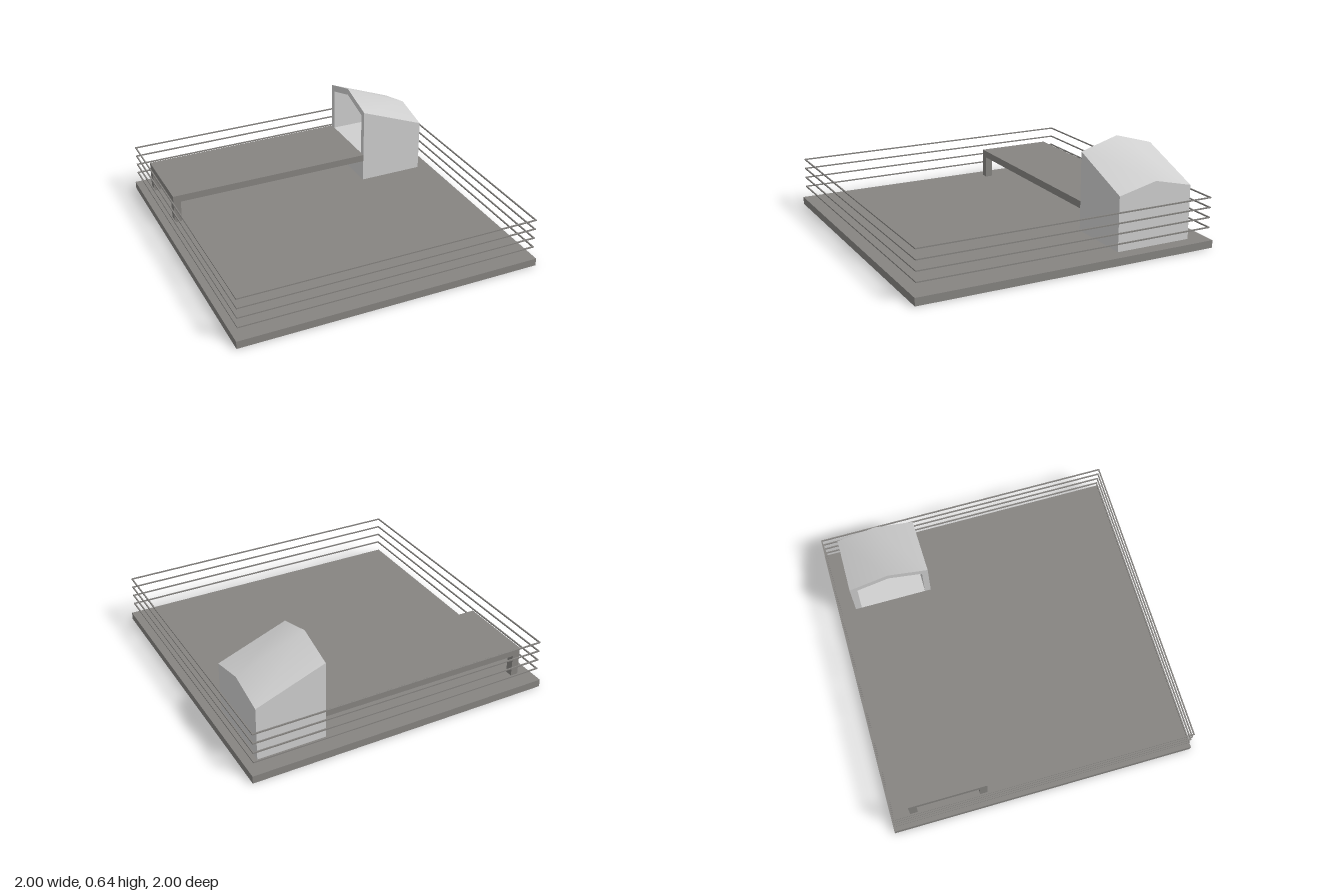
import * as THREE from 'three';
import { toCreasedNormals } from 'three/addons/utils/BufferGeometryUtils.js';

const concrete = new THREE.MeshStandardMaterial({ color: 0x868481 });
concrete.name = 'concrete grey';
const pale = new THREE.MeshStandardMaterial({ color: 0xcfcfcf });
pale.name = 'pale grey';

// Box given by its minimum and maximum corners
function box(name, min, max, material) {
  const size = max.map((v, i) => v - min[i]);
  const mesh = new THREE.Mesh(new THREE.BoxGeometry(...size), material);
  mesh.position.set(...max.map((v, i) => (v + min[i]) / 2));
  mesh.name = name;
  return mesh;
}

// House-shaped cross-section at x, from front bottom over the ridge to back bottom
function section(x, inset, bottom, eave, ridge) {
  const front = -0.36 - inset, back = -0.875 + inset, middle = (front + back) / 2;
  return [[front, bottom], [front, eave], [middle, ridge], [back, eave], [back, bottom]]
    .map(([z, y]) => [x, y, z]);
}

// Hollow shelter, open at its high end, with a roof falling towards +x
function shelterGeometry() {
  const outer0 = section(0.47, 0, 0.05, 0.57, 0.645);
  const outer1 = section(0.912, 0, 0.05, 0.402, 0.463);
  const inner0 = section(0.47, 0.04, 0.245, 0.535, 0.6);
  const inner1 = section(0.872, 0.04, 0.245, 0.38, 0.44);
  const positions = [];
  const face = (...corners) => {
    for (let k = 1; k < corners.length - 1; k++) {
      positions.push(...corners[0], ...corners[k], ...corners[k + 1]);
    }
  };
  for (let i = 0; i < 5; i++) {
    const j = (i + 1) % 5;
    face(outer0[i], outer1[i], outer1[j], outer0[j]); // outside
    face(inner0[i], inner0[j], inner1[j], inner1[i]); // inside
    face(outer0[i], outer0[j], inner0[j], inner0[i]); // rim of the opening
  }
  face(...outer1.slice().reverse()); // end wall
  face(...inner1);
  const geometry = new THREE.BufferGeometry();
  geometry.setAttribute('position', new THREE.Float32BufferAttribute(positions, 3));
  return toCreasedNormals(geometry, 0.8); // soft ridge, sharp corners
}

export function createModel() {
  const model = new THREE.Group();
  model.name = 'platformWithShelter';

  // Ground slab
  model.add(box('baseSlab', [-1, 0, -1], [1, 0.05, 1], concrete));

  // Raised walkway with two legs at its free end
  const walkway = new THREE.Group();
  walkway.name = 'walkway';
  walkway.add(box('deck', [-0.917, 0.197, -0.875], [0.47, 0.245, -0.36], concrete));
  for (const z of [-0.875, -0.41]) {
    walkway.add(box('deckLeg', [-0.917, 0.05, z], [-0.867, 0.197, z + 0.05], concrete));
  }
  model.add(walkway);

  // Shelter
  const shelter = new THREE.Mesh(shelterGeometry(), pale);
  shelter.name = 'shelter';
  model.add(shelter);

  // Four floating square loops of rail around the edge
  const railing = new THREE.Group();
  railing.name = 'railing';
  const r = 0.984, t = 0.008;
  for (const y of [0.127, 0.192, 0.257, 0.321]) {
    for (const side of [-1, 1]) {
      const a = side < 0 ? -r : r - t;
      railing.add(box('railAlongX', [-r, y, a], [r, y + t, a + t], concrete));
      railing.add(box('railAlongZ', [a, y, -r + t], [a + t, y + t, r - t], concrete));
    }
  }
  model.add(railing);

  return model;
}
